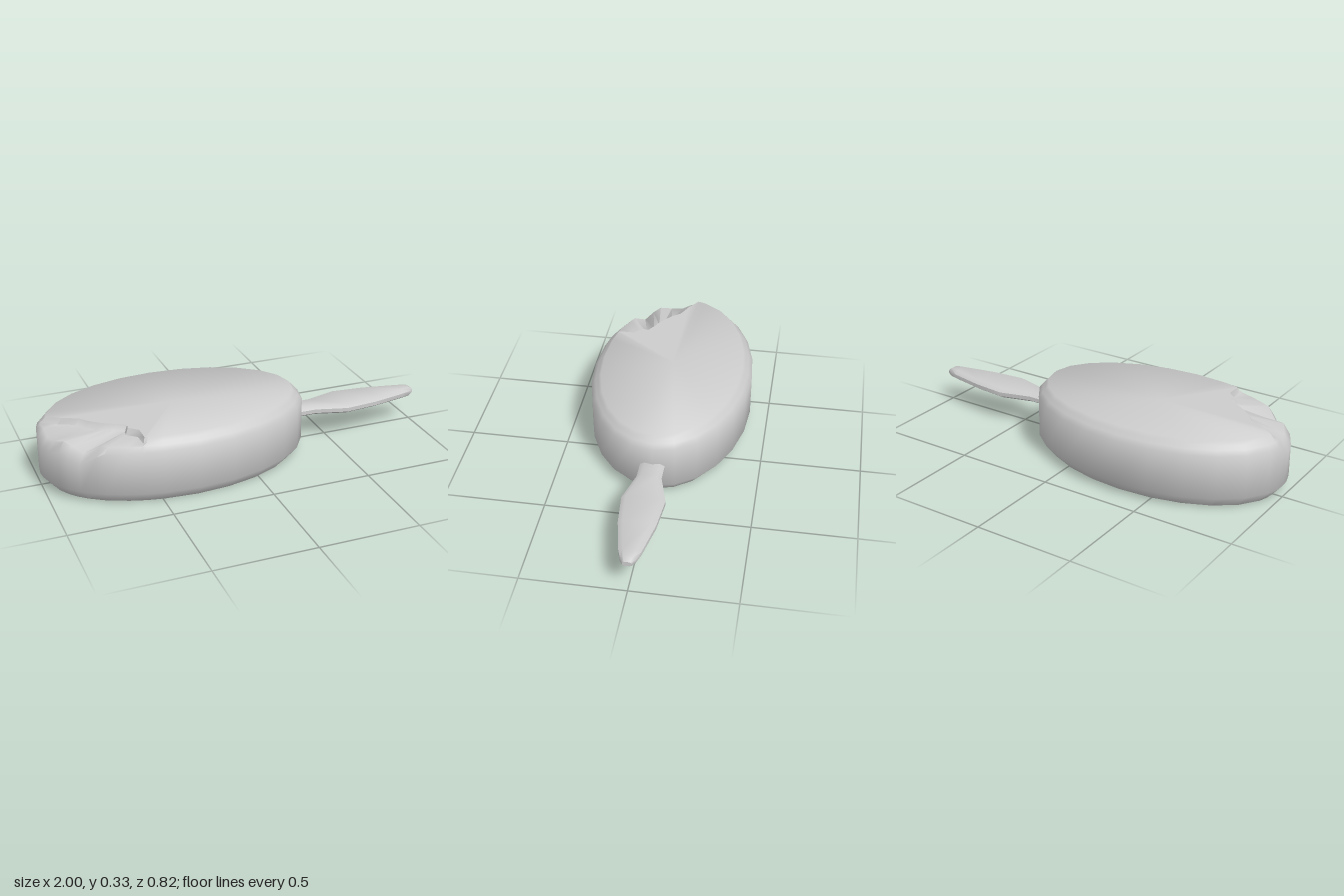
import * as THREE from 'three';
import { toCreasedNormals } from 'three/addons/utils/BufferGeometryUtils.js';

// Closed skin through rings of equal point count, capped at both ends
function loft(rings, capStart, capEnd, crease) {
  const n = rings[0].length, m = rings.length;
  const pos = [...rings.flat(2), ...capStart, ...capEnd], idx = [];
  const c0 = n * m, c1 = c0 + 1;
  for (let j = 0; j < n; j++) {
    const k = (j + 1) % n;
    for (let i = 0; i < m - 1; i++) {
      const a = i * n + j, b = i * n + k, c = a + n, d = b + n;
      idx.push(a, c, b, b, c, d);
    }
    idx.push(c0, j, k, c1, (m - 1) * n + k, (m - 1) * n + j);
  }
  const g = new THREE.BufferGeometry();
  g.setAttribute('position', new THREE.Float32BufferAttribute(pos, 3));
  g.setIndex(idx);
  return toCreasedNormals(g, crease);
}

const CX = -0.33, RX = 0.67, RZ = 0.41, H = 0.33, BEVEL = 0.05;

// Bite outline: angle in degrees, inner edge as a fraction of the oval, height of outer edge
const BITE = [
  [114.5, 0.88, 0.275], [121, 0.71, 0.272], [130, 0.67, 0.27], [134, 0.606, 0.25],
  [143, 0.61, 0.2], [150, 0.635, 0.225], [156, 0.65, 0.24], [165, 0.68, 0.22],
  [174, 0.71, 0.215], [181, 0.82, 0.24],
];

function bodyGeometry() {
  const columns = [];
  for (let d = 0; d < 360; d += 15) if (d < 112 || d > 188) columns.push([d]);
  columns.push([112], ...BITE, [188]);
  columns.sort((a, b) => a[0] - b[0]);

  const at = (d, inset, y, s = 1) => {
    const t = THREE.MathUtils.degToRad(d);
    return [CX + (RX - inset) * s * Math.cos(t), y, (RZ - inset) * s * Math.sin(t)];
  };
  // Each column runs from the bottom edge, up the side, over the bevel or bite, to the top
  const profiles = columns.map(([d, s, yOut]) => {
    const low = [at(d, BEVEL, 0), at(d, 0, 0.06)];
    if (s === undefined) {
      return [...low, at(d, 0, 0.275), at(d, 0.02, 0.297), at(d, 0.035, 0.3135), at(d, BEVEL, H)];
    }
    return [...low, at(d, 0, yOut), at(d, 0, Math.min(yOut + 0.05, 0.295), 0.95),
      at(d, 0, 0.3, s + 0.03), at(d, 0, H, s)];
  });
  const rings = profiles[0].map((_, i) => profiles.map((p) => p[i]));
  return loft(rings, [CX, 0, 0], [CX, H, 0], 0.9);
}

function stickGeometry() {
  // Stations: x, half width, half thickness
  const stations = [
    [0.28, 0.06, 0.025], [0.42, 0.06, 0.025], [0.58, 0.104, 0.025], [0.75, 0.088, 0.025],
    [0.93, 0.051, 0.025], [0.98, 0.034, 0.024], [1, 0.022, 0.012],
  ];
  const Y = 0.165;
  const rings = stations.map(([x, w, h]) => {
    const f = w - Math.min(0.022, w * 0.4), e = h * 0.4;
    return [[w, e], [f, h], [-f, h], [-w, e], [-w, -e], [-f, -h], [f, -h], [w, -e]]
      .map(([z, y]) => [x, Y + y, z]);
  });
  return loft(rings, [0.28, Y, 0], [1, Y, 0], 0.9);
}

export function createModel() {
  const group = new THREE.Group();
  group.name = 'icePop';
  const material = new THREE.MeshStandardMaterial({ color: 0xcccccc });
  const add = (name, geometry) => {
    const mesh = new THREE.Mesh(geometry, material);
    mesh.name = name;
    group.add(mesh);
  };
  add('bittenBody', bodyGeometry());
  add('stick', stickGeometry());
  return group;
}
